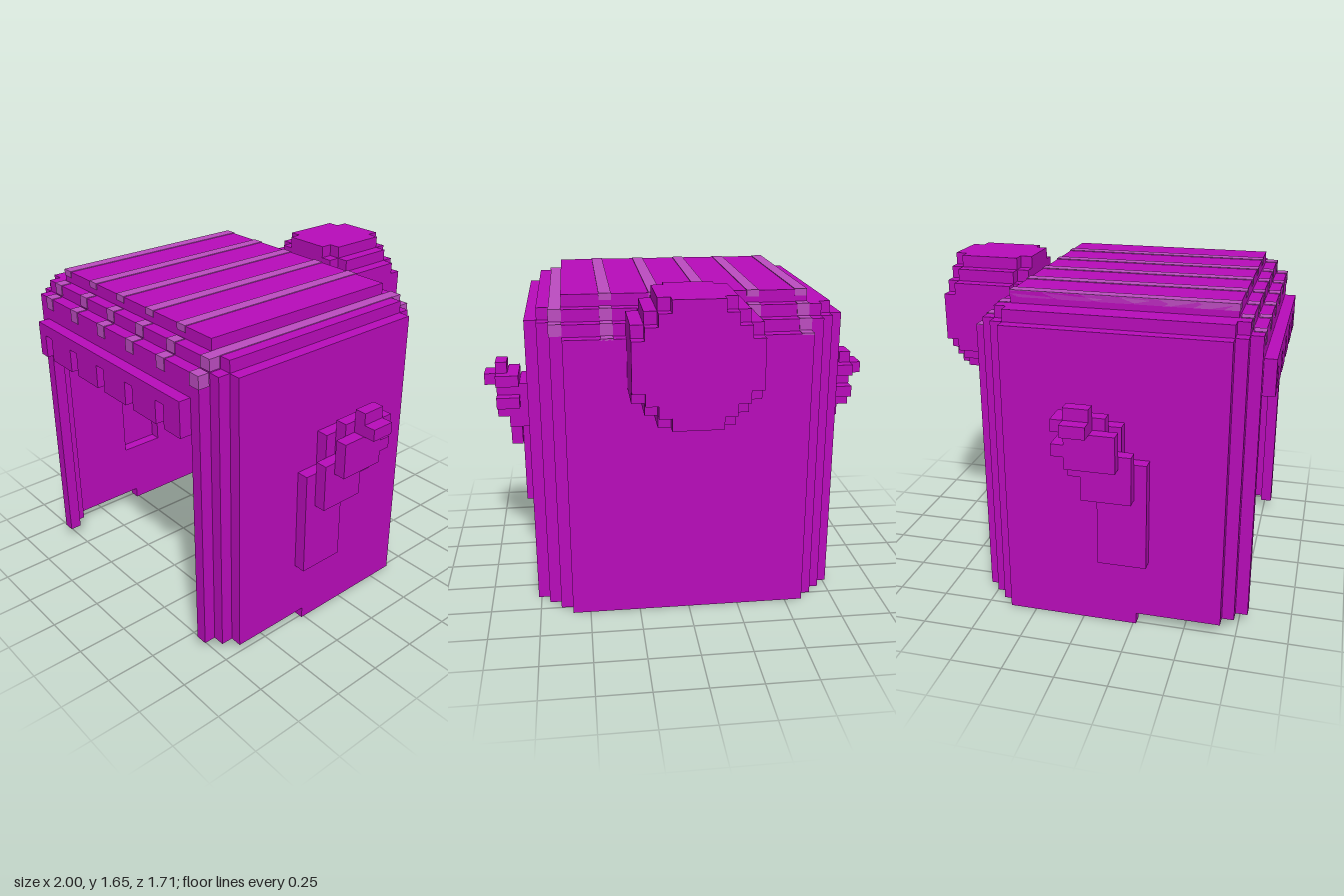
import * as THREE from 'three';
import { mergeGeometries } from 'three/addons/utils/BufferGeometryUtils.js';

// All part sizes are in voxels; V converts to units.
const V = 2 / 34;

const box = (x0, x1, y0, y1, z0, z1) =>
  new THREE.BoxGeometry(x1 - x0, y1 - y0, z1 - z0)
    .translate((x0 + x1) / 2, (y0 + y1) / 2, (z0 + z1) / 2);

// Box repeated on the left and right
const pair = (x0, x1, ...r) => [box(x0, x1, ...r), box(-x1, -x0, ...r)];

export function createModel() {
  const group = new THREE.Group();
  const hair = new THREE.MeshStandardMaterial({ color: 0xb80cba });
  hair.name = 'purple hair';
  const shine = new THREE.MeshStandardMaterial({ color: 0xbc4cc0 });
  shine.name = 'light purple streak';

  const add = (name, geometries, material = hair) => {
    const mesh = new THREE.Mesh(mergeGeometries(geometries).scale(V, V, V), material);
    mesh.name = name;
    group.add(mesh);
  };

  // Stepped crown
  add('crown', [
    box(-10, 10, 26, 27, -6.5, 11.5),
    ...pair(10, 12, 25, 26, -6.5, 11.5),
    box(-11, 11, 25, 26, 11.5, 12.5),
    box(-11, 11, 25, 26, -7.5, -6.5),
    box(-10, 10, 24, 25, -8.5, -7.5),
  ]);

  // Side panels with a lower rear edge and a recess behind each side tuft
  const outline = new THREE.Shape([
    [-6.5, 0], [4.5, 0], [4.5, 1], [11.5, 1], [11.5, 25], [-6.5, 25],
  ].map(p => new THREE.Vector2(...p)));
  outline.holes.push(new THREE.Path([
    [1.5, 6], [1.5, 15], [5.5, 15], [5.5, 6],
  ].map(p => new THREE.Vector2(...p))));
  const panel = x => new THREE.ExtrudeGeometry(outline, { depth: 1, bevelEnabled: false })
    .rotateY(-Math.PI / 2).translate(x, 0, 0);
  add('leftSidePanel', [panel(13)]);
  add('rightSidePanel', [panel(-12)]);

  // Stepped corners and back wall
  add('frontCorners', [
    ...pair(11, 12, 1, 25, 11.5, 12.5),
    ...pair(10, 11, 1, 25, 12.5, 13.5),
  ]);
  add('backCorners', [
    ...pair(11, 12, 0, 25, -7.5, -6.5),
    ...pair(10, 11, 0, 25, -8.5, -7.5),
  ]);
  add('backWall', [box(-10, 10, 0, 24, -9.5, -8.5)]);

  // Front band and notched fringe
  add('frontBand', [box(-10, 10, 22, 25, 12.5, 13.5)]);
  const fringe = [box(-10, 10, 22, 23, 13.5, 14.5)];
  let start = -10;
  for (const notch of [-9, -5, -1, 3, 7, 10]) {
    fringe.push(box(start, notch, 20, 22, 13.5, 14.5));
    start = notch + 1;
  }
  add('fringe', fringe);

  // Curled tufts on both sides
  const tuft = [
    [13, 14, 6, 15, 1.5, 5.5],
    [13, 14, 14, 18, -0.5, 3.5],
    [14, 15, 12, 16, 0.5, 4.5],
    [14, 15, 14, 19, -0.5, 2.5],
    [15, 16, 15, 18, -0.5, 3.5],
    [15, 16, 18, 20, -0.5, 1.5],
    [16, 17, 18, 19, -0.5, 1.5],
    [14, 16, 16, 17, -1.5, -0.5],
    [14, 16, 18, 19, -1.5, -0.5],
  ];
  add('leftTuft', tuft.map(b => box(...b)));
  add('rightTuft', tuft.map(([x0, x1, ...r]) => box(-x1, -x0, ...r)));

  // Bun: voxel ball, one box per row of cells
  const bun = [];
  for (let dz = -3; dz <= 3; dz++) {
    for (let dy = -4.5; dy <= 4.5; dy++) {
      let half = 0;
      while (half < 5 && (half + 0.5) ** 2 + dy * dy + dz * dz <= 32) half++;
      if (half) bun.push(box(-half, half, 22.5 + dy, 23.5 + dy, dz - 11.5, dz - 10.5));
    }
  }
  add('bun', bun);

  // Light streaks following the steps of the crown
  const e = 0.06;
  const steps = (x0, x1) => [
    box(x0, x1, 24, 25 + e, 12.6, 13.5 + e),
    box(x0, x1, 25.1, 26 + e, 11.6, 12.5 + e),
    box(x0, x1, 25.1, 26 + e, -7.5 - e, -6.6),
    box(x0, x1, 24.1, 25 + e, -8.5 - e, -7.6),
  ];
  const streaks = [];
  for (const x of [-10, -6, -2, 2, 6]) {
    streaks.push(
      ...steps(x, x + 1),
      box(x, x + 1, 26.5, 27 + e, -6.5 - e, 11.5 + e),
      box(x, x + 1, 23.9, 24 + e, -9.5, -8.5),
    );
  }
  streaks.push(...steps(10, 11 + e), box(10, 11, 25.5, 26 + e, -6.6, 11.6));
  add('streaks', streaks, shine);

  return group;
}
